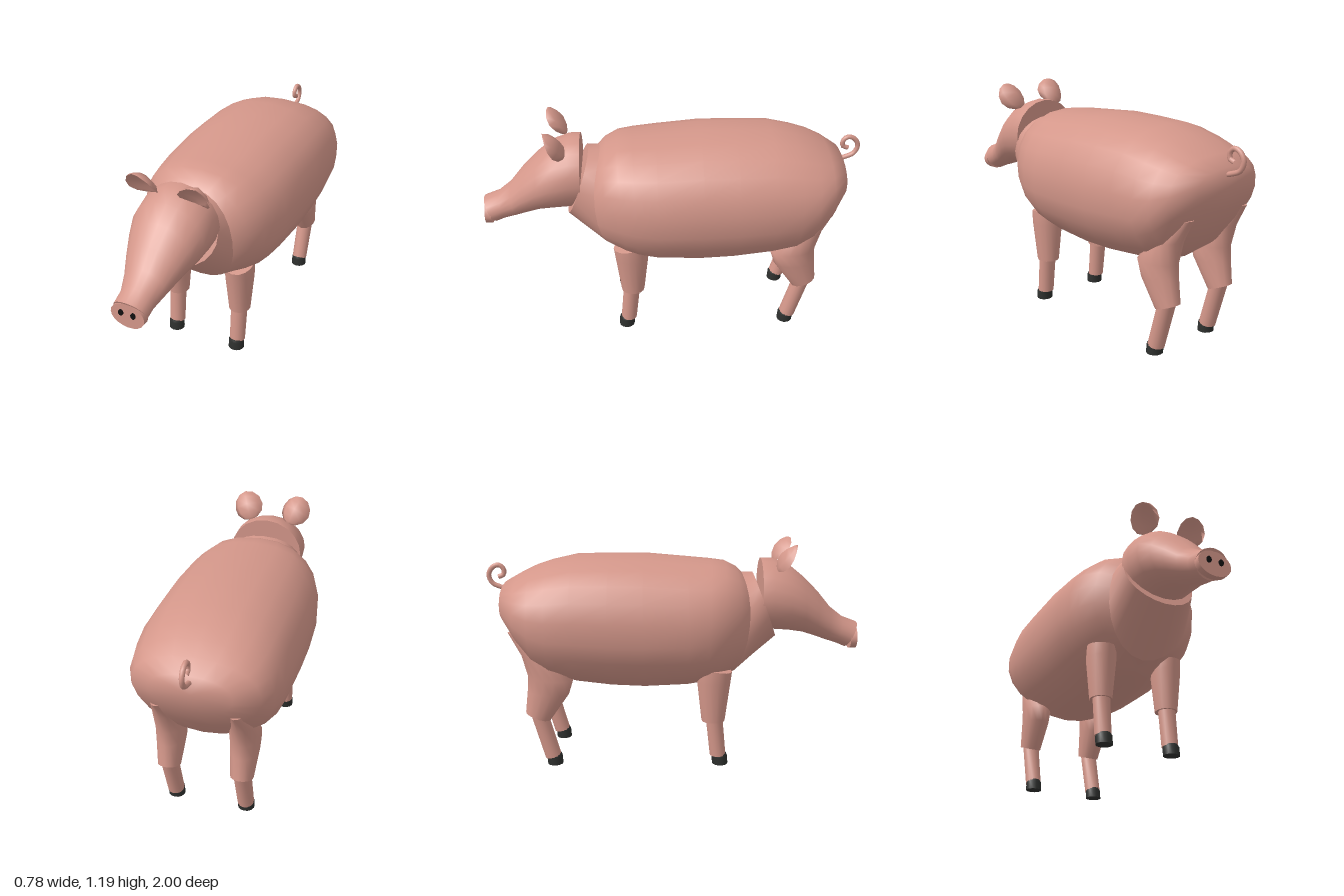
import * as THREE from 'three';

const paint = (name, color) => {
  const m = new THREE.MeshStandardMaterial({ color });
  m.name = name;
  return m;
};

// Skin over elliptical rings. Each ring: [zA, yA, zB, yB, halfWidth, bulge],
// where A and B are its two ends in the side plane.
// Rings run front to rear with A on top, or bottom to top with A in front.
// A power below 1 squares off the A half of every ring.
function loft(rings, n, { caps = true, power = 1 } = {}) {
  const pos = [], idx = [];
  const point = ([za, ya, zb, yb, rx, bulge = 0], t) => {
    let c = Math.cos(t), s = Math.sin(t);
    if (c > 0) {
      c = c ** power;
      s = Math.sign(s) * Math.abs(s) ** power;
    }
    pos.push(rx * s, (ya + yb) / 2 + (ya - yb) * c / 2,
      (za + zb) / 2 + (za - zb) * c / 2 + bulge * s * s);
  };
  const ring = (r) => {
    for (let j = 0; j < n; j++) point(r, (j / n) * Math.PI * 2);
  };
  rings.forEach(ring);
  for (let i = 0; i < rings.length - 1; i++) {
    for (let j = 0; j < n; j++) {
      const a = i * n + j, b = i * n + (j + 1) % n;
      idx.push(a, b, a + n, b, b + n, a + n);
    }
  }
  if (caps) {
    [rings[0], rings[rings.length - 1]].forEach((r, end) => {
      const start = pos.length / 3;
      ring(r);
      pos.push(0, (r[1] + r[3]) / 2, (r[0] + r[2]) / 2 + (r[5] || 0) / 2);
      for (let j = 0; j < n; j++) {
        const a = start + j, b = start + (j + 1) % n;
        if (end) idx.push(start + n, a, b);
        else idx.push(start + n, b, a);
      }
    });
  }
  const g = new THREE.BufferGeometry();
  g.setAttribute('position', new THREE.Float32BufferAttribute(pos, 3));
  g.setIndex(idx);
  g.computeVertexNormals();
  return g;
}

export function createModel() {
  const skin = paint('pink skin', 0xd4978a);
  const horn = paint('dark hoof', 0x2e302e);
  const black = paint('nostril black', 0x111111);
  const model = new THREE.Group();
  model.name = 'pig';

  const add = (name, geometry, material, parent = model) => {
    const mesh = new THREE.Mesh(geometry, material);
    mesh.name = name;
    parent.add(mesh);
    return mesh;
  };

  // Barrel body, closing to a blunt rump
  add('body', loft([
    [0.37, 1.02, 0.31, 0.47, 0.235, 0.055],
    [0.34, 1.05, 0.29, 0.475, 0.295, 0.03],
    [0.28, 1.08, 0.24, 0.45, 0.345],
    [0.2, 1.09, 0.18, 0.43, 0.368],
    [0.08, 1.1, 0.08, 0.413, 0.386],
    [-0.15, 1.12, -0.15, 0.402, 0.396],
    [-0.33, 1.12, -0.33, 0.41, 0.395],
    [-0.52, 1.115, -0.52, 0.433, 0.389],
    [-0.65, 1.085, -0.65, 0.465, 0.375],
    [-0.74, 1.055, -0.74, 0.53, 0.354],
    [-0.82, 1.015, -0.82, 0.645, 0.31],
    [-0.9, 0.97, -0.9, 0.77, 0.2],
    [-0.901, 0.87, -0.901, 0.87, 0],
  ], 22, { caps: false, power: 0.87 }), skin);

  // Slanted neck collar
  add('neck', loft([
    [0.43, 1.02, 0.555, 0.68, 0.2],
    [0.37, 1.02, 0.31, 0.47, 0.235, 0.055],
  ], 22, { power: 0.87 }), skin);

  // Head, tapering to the muzzle
  add('head', loft([
    [1.0, 0.75, 0.935, 0.615, 0.088],
    [0.92, 0.78, 0.89, 0.635, 0.09],
    [0.85, 0.835, 0.83, 0.655, 0.112],
    [0.78, 0.92, 0.76, 0.68, 0.142],
    [0.7, 1.0, 0.7, 0.7, 0.17],
    [0.62, 1.065, 0.62, 0.712, 0.197],
    [0.53, 1.1, 0.53, 0.717, 0.202],
    [0.47, 1.1, 0.47, 0.72, 0.202],
  ], 20), skin);

  // Snout disc and nostrils
  const snout = add('snout', new THREE.CylinderGeometry(0.09, 0.09, 0.033, 20), skin);
  snout.rotation.x = Math.PI / 2;
  snout.scale.z = 0.74;
  snout.position.set(0, 0.672, 0.977);

  // Cupped ear, leaning forward
  const ear = new THREE.SphereGeometry(1, 8, 6);
  const p = ear.attributes.position;
  for (let i = 0; i < p.count; i++) {
    const x = p.getX(i), y = p.getY(i);
    p.setXYZ(i, x * 0.081, y * 0.085, p.getZ(i) * 0.014 + 0.05 * x * x + 0.028 * y * y - 0.026);
  }
  ear.computeVertexNormals();

  for (const side of [-1, 1]) {
    const label = side > 0 ? 'left' : 'right';

    const nostril = add(`${label}Nostril`, new THREE.CylinderGeometry(0.013, 0.013, 0.009, 12), black);
    nostril.rotation.x = Math.PI / 2;
    nostril.scale.z = 1.3;
    nostril.position.set(side * 0.033, 0.684, 0.9955);

    const flap = add(`${label}Ear`, ear, skin);
    flap.position.set(side * 0.14, 1.125, 0.59);
    flap.rotation.set(0.62, 0, -side * 0.35);

    // Front leg
    const front = new THREE.Group();
    front.name = `${label}FrontLeg`;
    front.position.x = side * 0.19;
    model.add(front);
    add('upperLeg', loft([
      [0.28, 0.25, 0.155, 0.25, 0.058],
      [0.308, 0.47, 0.13, 0.47, 0.077],
      [0.315, 0.525, 0.13, 0.56, 0.074],
    ], 14), skin, front);
    add('lowerLeg', loft([
      [0.288, 0.05, 0.202, 0.05, 0.043],
      [0.268, 0.27, 0.178, 0.27, 0.046],
    ], 14), skin, front);
    add('hoof', loft([
      [0.3, 0, 0.215, 0, 0.044],
      [0.297, 0.045, 0.212, 0.045, 0.043],
      [0.29, 0.06, 0.207, 0.05, 0.037],
    ], 14), horn, front);

    // Hind leg, its thigh running up into the rump
    const hind = new THREE.Group();
    hind.name = `${label}HindLeg`;
    hind.position.x = side * 0.19;
    model.add(hind);
    add('upperLeg', loft([
      [-0.66, 0.25, -0.79, 0.3, 0.058],
      [-0.555, 0.4, -0.775, 0.42, 0.072],
      [-0.53, 0.48, -0.77, 0.5, 0.077],
      [-0.6, 0.58, -0.8, 0.62, 0.07],
      [-0.74, 0.72, -0.865, 0.74, 0.035],
    ], 14), skin, hind);
    add('lowerLeg', loft([
      [-0.608, 0.05, -0.696, 0.035, 0.043],
      [-0.67, 0.28, -0.768, 0.3, 0.046],
    ], 14), skin, hind);
    add('hoof', loft([
      [-0.6, 0, -0.685, 0, 0.044],
      [-0.603, 0.045, -0.688, 0.045, 0.043],
      [-0.61, 0.06, -0.69, 0.05, 0.037],
    ], 14), horn, hind);
  }

  // Curly tail
  const curl = [
    [0.93, -0.88], [0.945, -0.93], [0.965, -0.97], [1.01, -0.987], [1.05, -0.965],
    [1.062, -0.93], [1.04, -0.906], [1.01, -0.908], [0.998, -0.935],
  ].map(([y, z]) => new THREE.Vector3(0, y, z));
  add('tail', new THREE.TubeGeometry(new THREE.CatmullRomCurve3(curl), 24, 0.013, 8), skin);

  return model;
}
